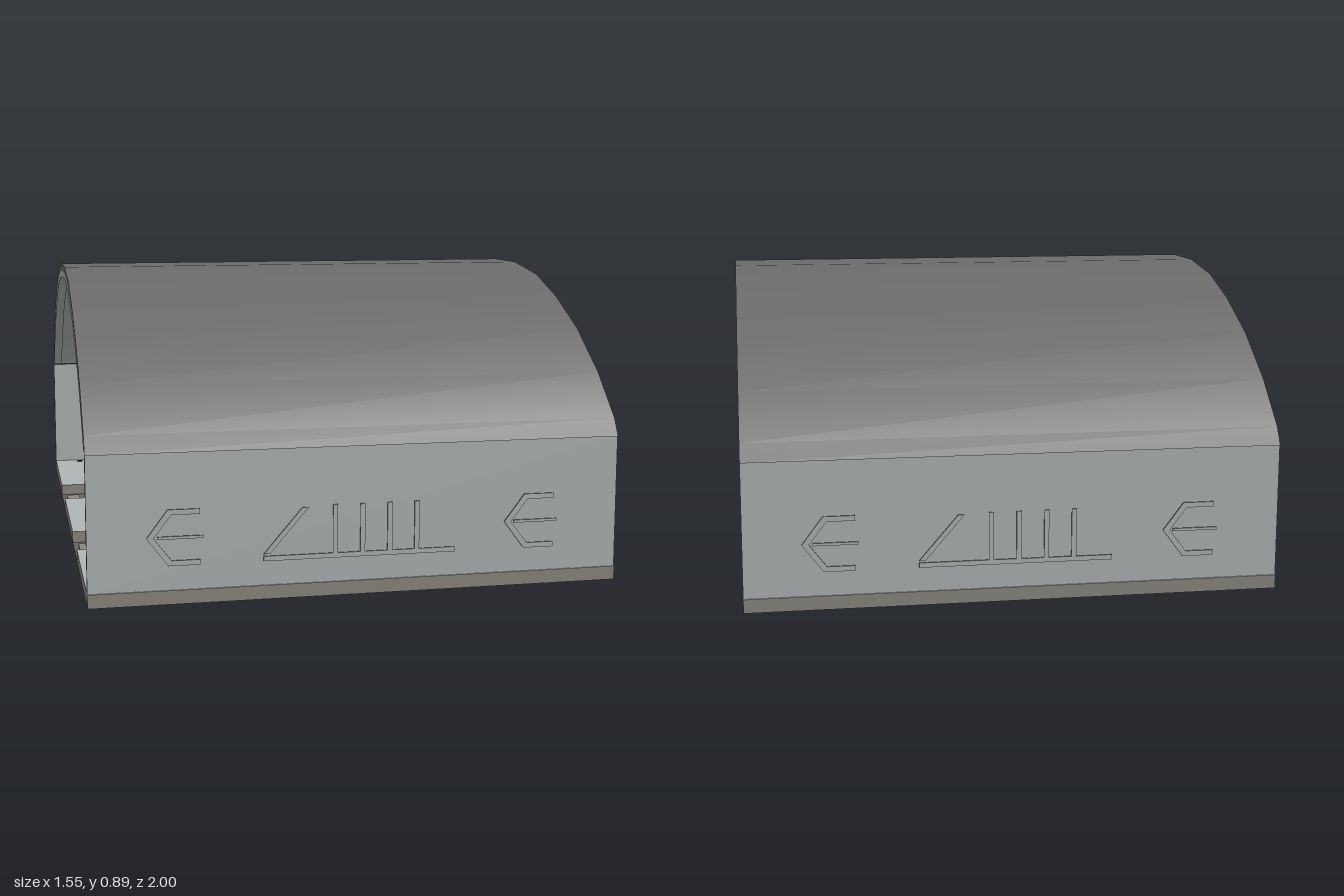
import * as THREE from 'three';
import { toCreasedNormals } from 'three/addons/utils/BufferGeometryUtils.js';

const mat = (name, color) => new THREE.MeshStandardMaterial({ name, color });

export function createModel() {
  const light = mat('lightPanel', 0xb0b5b6);
  const roofGrey = mat('roofGrey', 0x6b6b6b);
  const edge = mat('darkEdge', 0x555555);
  const slabEdge = mat('slabEdge', 0x8c8981);
  const trenchGrey = mat('trenchGrey', 0x636363);
  const black = mat('holeBlack', 0x1c1c1c);

  const L = 1.55; // length along x
  const root = new THREE.Group();
  root.name = 'tunnelSection';

  const add = (name, geo, material, x = 0, y = 0, z = 0, parent = root) => {
    const m = new THREE.Mesh(geo, material);
    m.name = name;
    m.position.set(x, y, z);
    parent.add(m);
    return m;
  };
  const box = (name, w, h, d, material, x, y, z, parent) =>
    add(name, new THREE.BoxGeometry(w, h, d), material, x, y, z, parent);

  // Arched roof bands: the half outline is mirrored and offset towards the arc centre
  const outline = [[1, 0.43], [0.97, 0.48], [0.84, 0.6], [0.67, 0.715], [0.49, 0.8], [0.31, 0.86], [0.1, 0.89]];
  const arc = (d, minY) => {
    const half = outline.map(([z, y]) => {
      const k = 1 - d / 1.35;
      return new THREE.Vector2(z * k, Math.max(minY, (y + 0.46) * k - 0.46));
    });
    if (minY > 0.435) half[0].x = half[1].x + 0.01;
    return [...half, ...half.slice().reverse().map(p => new THREE.Vector2(-p.x, p.y))];
  };
  const band = (name, d0, d1, minY, length, x, material) => {
    const shape = new THREE.Shape([...arc(d0, minY), ...arc(d1, minY).reverse()]);
    const geo = new THREE.ExtrudeGeometry(shape, { depth: length, bevelEnabled: false });
    geo.translate(0, 0, -length / 2).rotateY(Math.PI / 2);
    add(name, toCreasedNormals(geo, 0.6), material, x);
  };
  band('roof', 0, 0.022, 0.43, L, 0, roofGrey);
  band('roofLining', 0.022, 0.03, 0.44, L - 0.002, 0, light);
  for (const s of [-1, 1]) band('endRib', 0.022, 0.042, 0.44, 0.03, s * (L / 2 - 0.015), light);

  // Relief shapes for the walls: bent chevrons with a shaft, and a barred panel between them
  const poly = pts => new THREE.Shape(pts.map(([x, y]) => new THREE.Vector2(x, y)));
  const bar = (x, y, w, h) => poly([[x, y], [x + w, y], [x + w, y + h], [x, y + h]]);
  const reliefs = [];
  for (const x of [-0.61, 0.43]) {
    reliefs.push(poly([
      [x, 0.19], [x + 0.06, 0.27], [x + 0.15, 0.27], [x + 0.15, 0.255], [x + 0.07, 0.255],
      [x + 0.02, 0.19], [x + 0.07, 0.125], [x + 0.15, 0.125], [x + 0.15, 0.11], [x + 0.06, 0.11],
    ]));
    reliefs.push(bar(x + 0.03, 0.186, 0.13, 0.008));
  }
  reliefs.push(bar(-0.28, 0.11, 0.56, 0.014));
  reliefs.push(poly([[-0.28, 0.13], [-0.262, 0.13], [-0.15, 0.26], [-0.168, 0.26]]));
  for (const x of [-0.08, 0.0, 0.08, 0.16]) reliefs.push(bar(x, 0.124, 0.014, 0.14));
  const reliefGeo = new THREE.ExtrudeGeometry(reliefs, { depth: 0.004, bevelEnabled: false });

  // Side walls with dark cut ends
  for (const s of [-1, 1]) {
    const wall = new THREE.Group();
    wall.name = s > 0 ? 'frontWall' : 'backWall';
    wall.position.z = s * 0.988;
    if (s < 0) wall.rotation.y = Math.PI;
    root.add(wall);
    box('wallPanel', L, 0.395, 0.016, [edge, edge, light, light, light, light], 0, 0.2375, 0, wall);
    add('outerRelief', reliefGeo, [light, edge], 0, 0, 0.008, wall);
    const inner = add('innerRelief', reliefGeo, [light, edge], 0, 0, -0.008, wall);
    inner.rotation.y = Math.PI;
  }

  // Three floor slabs with rows of dark fixing holes underneath
  const hole = new THREE.CylinderGeometry(0.008, 0.008, 0.002, 10);
  for (const z of [-0.745, 0, 0.745]) {
    box('floorSlab', L, 0.04, 0.51, [slabEdge, slabEdge, light, light, slabEdge, slabEdge], 0, 0.02, z);
    for (let i = 0; i < 7; i++)
      for (const dz of [-0.19, -0.065, 0.065, 0.19])
        add('fixingHole', hole, black, (i - 3) * 0.227, 0.0005, z + dz);
  }

  // Studs along the foot of each wall
  const stud = new THREE.CylinderGeometry(0.01, 0.01, 0.004, 10);
  for (const s of [-1, 1])
    for (let i = 0; i < 7; i++) add('floorStud', stud, black, (i - 3) * 0.227, 0.041, s * 0.95);

  // Two sunken trenches with cross slats
  for (const z of [-0.37, 0.375]) {
    box('trenchBase', L, 0.003, 0.24, trenchGrey, 0, 0.0025, z);
    for (let i = 0; i < 20; i++)
      box('trenchSlat', 0.045, 0.005, 0.17, [edge, edge, slabEdge, edge, edge, edge], (i - 9.5) * 0.0775, 0.0065, z);
  }
  return root;
}
